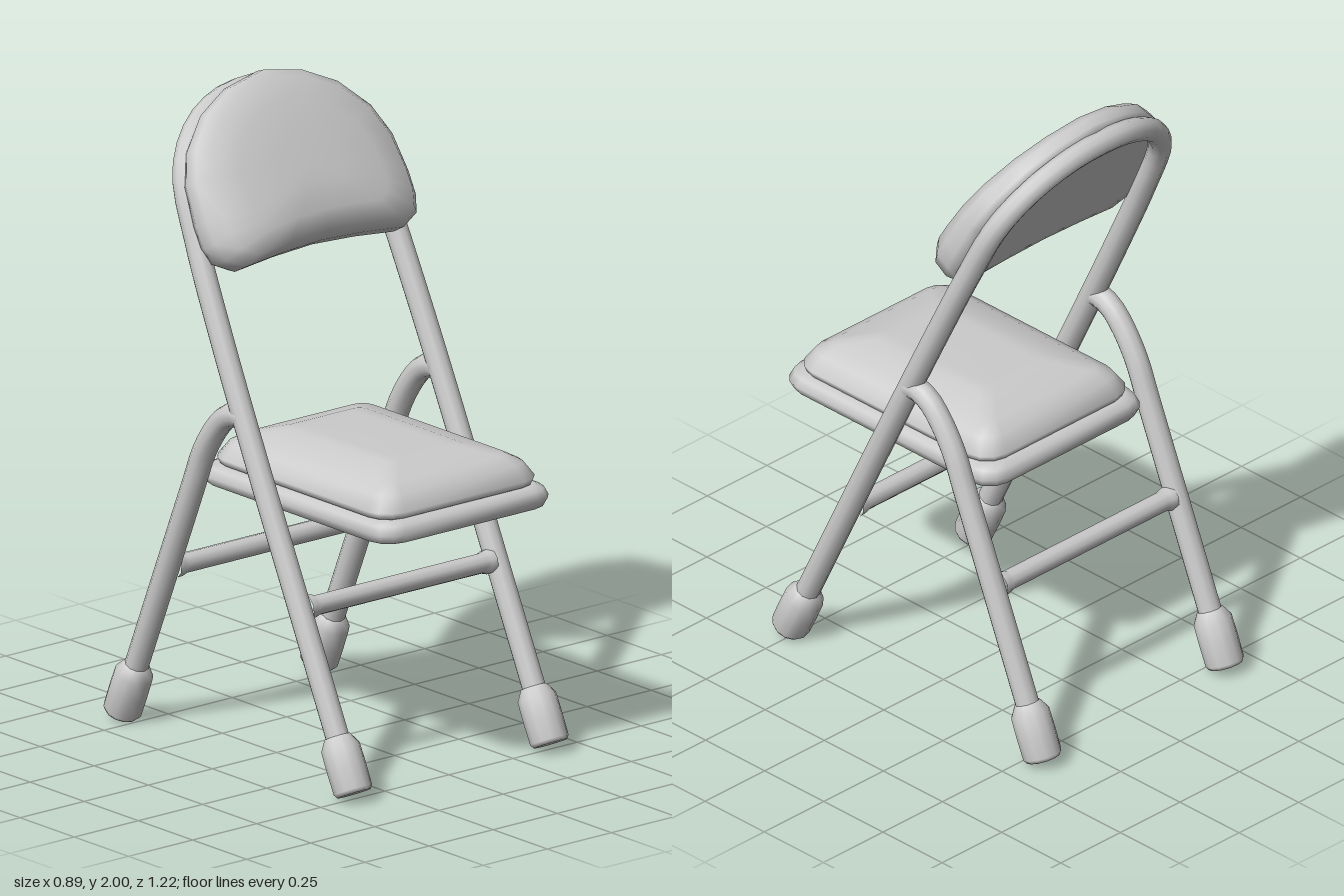
import * as THREE from 'three';

const material = new THREE.MeshStandardMaterial({ color: 0xcccccc });
const TUBE = 0.037;

function add(parent, geometry, name) {
  const mesh = new THREE.Mesh(geometry, material);
  mesh.name = name;
  parent.add(mesh);
  return mesh;
}

// Skin a stack of closed rings (counter-clockwise, rising along +z) and cap both ends
function loft(rings) {
  const n = rings[0].length, positions = [], index = [];
  rings.forEach(ring => ring.forEach(p => positions.push(...p)));
  for (let i = 0; i < rings.length - 1; i++) {
    for (let j = 0; j < n; j++) {
      const a = i * n + j, b = i * n + (j + 1) % n;
      index.push(a, b, b + n, a, b + n, a + n);
    }
  }
  [0, rings.length - 1].forEach(i => {
    const centre = positions.length / 3;
    positions.push(...[0, 1, 2].map(k => rings[i].reduce((sum, p) => sum + p[k], 0) / n));
    for (let j = 0; j < n; j++) {
      const a = i * n + j, b = i * n + (j + 1) % n;
      if (i) index.push(centre, a, b);
      else index.push(centre, b, a);
    }
  });
  const geometry = new THREE.BufferGeometry();
  geometry.setAttribute('position', new THREE.Float32BufferAttribute(positions, 3));
  geometry.setIndex(index);
  geometry.computeVertexNormals();
  return geometry;
}

// Rounded rectangle ring
function roundedRing(halfW, halfD, radius, height) {
  const ring = [];
  [[1, 1], [-1, 1], [-1, -1], [1, -1]].forEach(([sx, sy], corner) => {
    for (let k = 0; k <= 3; k++) {
      const a = (corner + k / 3) * Math.PI / 2;
      ring.push([sx * (halfW - radius) + radius * Math.cos(a),
        sy * (halfD - radius) + radius * Math.sin(a), height]);
    }
  });
  return ring;
}

// Horizontal slab from [inset, height] levels
function slab(halfW, halfD, radius, levels) {
  return loft(levels.map(([inset, h]) =>
    roundedRing(halfW - inset, halfD - inset, Math.max(radius - inset * 0.5, 0.03), h)))
    .rotateX(-Math.PI / 2);
}

function tube(points, segments) {
  const curve = new THREE.CatmullRomCurve3(points.map(p => new THREE.Vector3(...p)));
  return new THREE.TubeGeometry(curve, segments, TUBE, 10);
}

// Rubber foot, base at y = 0
function foot(parent, x, y) {
  const profile = [[0, 0], [0.052, 0], [0.06, 0.012], [0.061, 0.08], [0.06, 0.145], [0.04, 0.178], [0.03, 0.18]];
  const mesh = add(parent, new THREE.LatheGeometry(profile.map(p => new THREE.Vector2(...p)), 12), 'foot');
  mesh.position.set(x, y, 0);
}

// Cross bar with slightly flared ends
function crossBar(parent, y, name) {
  const profile = [[0.038, -0.36], [0.037, -0.34], [0.031, -0.32], [0.031, 0.32], [0.037, 0.34], [0.038, 0.36]];
  const mesh = add(parent, new THREE.LatheGeometry(profile.map(p => new THREE.Vector2(...p)), 10), name);
  mesh.rotation.z = Math.PI / 2;
  mesh.position.y = y;
}

export function createModel() {
  const chair = new THREE.Group();
  chair.name = 'foldingChair';

  // Front frame: two legs joined by an arch, leaning back
  const front = new THREE.Group();
  front.name = 'frontFrame';
  front.position.y = 1.09;
  front.rotation.x = -Math.atan(0.485);
  chair.add(front);
  const side = [[0.383, -1.08, 0], [0.383, -0.6, 0], [0.383, -0.1, 0], [0.378, 0.25, 0],
    [0.367, 0.52, 0], [0.338, 0.74, 0], [0.25, 0.86, 0], [0.13, 0.925, 0]];
  const mirrored = side.map(([x, y, z]) => [-x, y, z]).reverse();
  add(front, tube([...side, [0, 0.942, 0], ...mirrored], 80), 'frontLegsAndArch');
  crossBar(front, -0.608, 'frontCrossBar');

  // Backrest pad: half-round outline, fuller towards the bottom
  const half = [[0.31, 0.412], [0.375, 0.445], [0.395, 0.5], [0.398, 0.57], [0.387, 0.695],
    [0.345, 0.795], [0.255, 0.89], [0.14, 0.95]];
  const outline = [[0, 0.435], [0.16, 0.427], ...half, [0, 0.978],
    ...half.map(([x, y]) => [-x, y]).reverse(), [-0.16, 0.427]];
  const middle = 0.68;
  const padLevels = [[0.85, 0.022], [0.96, 0.024], [1, 0.055], [0.99, 0.1], [0.9, 0.135],
    [0.65, 0.157], [0.3, 0.163]];
  add(front, loft(padLevels.map(([scale, t]) => outline.map(([x, y]) => {
    const dy = (y - middle) * scale;
    return [x * scale, middle + dy, t - dy * (t - 0.02)];
  }))), 'backrestPad');

  // Rear legs, hooked at the top to meet the front frame
  const rear = new THREE.Group();
  rear.name = 'rearFrame';
  rear.position.set(0, 0.025, -0.557);
  rear.rotation.x = Math.atan(0.42);
  chair.add(rear);
  for (const s of [1, -1]) {
    const x = 0.383 * s;
    foot(front, x, -1.181);
    foot(rear, x, 0);
    add(rear, tube([[x, 0.1, 0], [x, 0.5, 0], [x, 0.86, 0], [x, 0.98, 0], [x, 1.085, 0.02],
      [x, 1.147, 0.047], [x, 1.185, 0.09], [x, 1.19, 0.11]], 36), 'rearLeg');
  }
  crossBar(rear, 0.545, 'rearCrossBar');

  // Seat: rounded-edge base and a domed cushion
  const seat = new THREE.Group();
  seat.name = 'seat';
  seat.position.z = 0.1625;
  chair.add(seat);
  add(seat, slab(0.34, 0.4475, 0.08, [[0.07, 0.806], [0.05, 0.806], [0.035, 0.797], [0.012, 0.806],
    [0, 0.832], [0.012, 0.858], [0.035, 0.868], [0.06, 0.868]]), 'seatBase');
  add(seat, slab(0.315, 0.4125, 0.08, [[0.03, 0.86], [0.008, 0.87], [0, 0.89], [0.03, 0.935],
    [0.075, 0.96], [0.165, 0.984], [0.21, 0.986]]), 'seatCushion');

  return chair;
}
